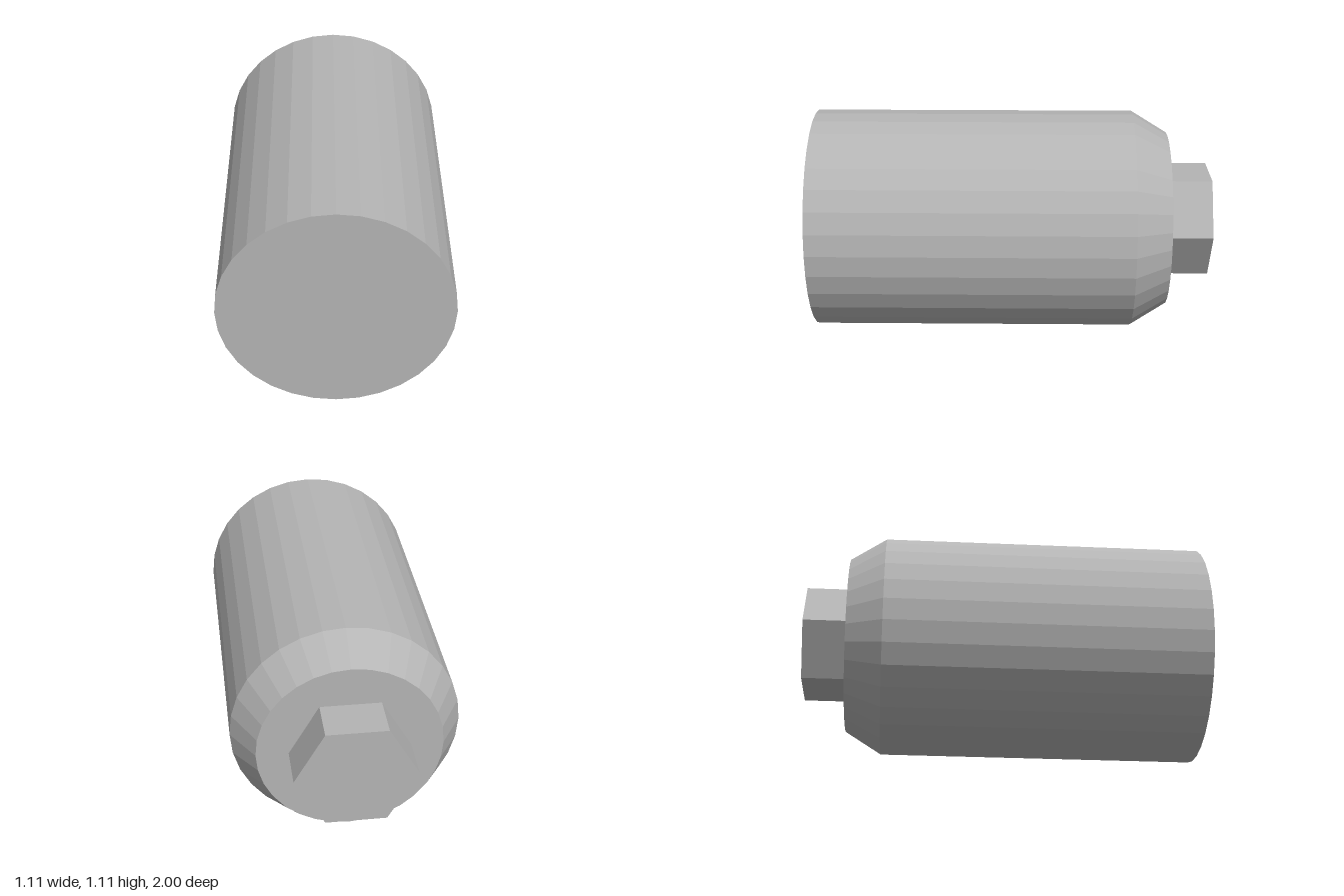
import * as THREE from 'three';

const RADIUS = 0.555;

export function createModel() {
  const model = new THREE.Group();
  const grey = new THREE.MeshStandardMaterial({ color: 0xb4b4b4, flatShading: true });
  grey.name = 'plain grey';

  const add = (name, geometry) => {
    geometry.rotateX(-Math.PI / 2); // lay the axis along z, top toward the back
    const mesh = new THREE.Mesh(geometry, grey);
    mesh.name = name;
    mesh.position.y = RADIUS;
    model.add(mesh);
  };

  // Closed barrel with a chamfered back end: [radius, distance toward the back]
  const profile = [[0, -1], [RADIUS, -1], [RADIUS, 0.6], [0.445, 0.78], [0, 0.78]];
  add('barrel', new THREE.LatheGeometry(profile.map(([r, d]) => new THREE.Vector2(r, d)), 32));

  // Hexagonal stub on the back, corners pointing sideways
  const hex = new THREE.CylinderGeometry(0.29, 0.29, 0.22, 6, 1, false, Math.PI / 6);
  add('hexStub', hex.translate(0, 0.89, 0));

  return model;
}
